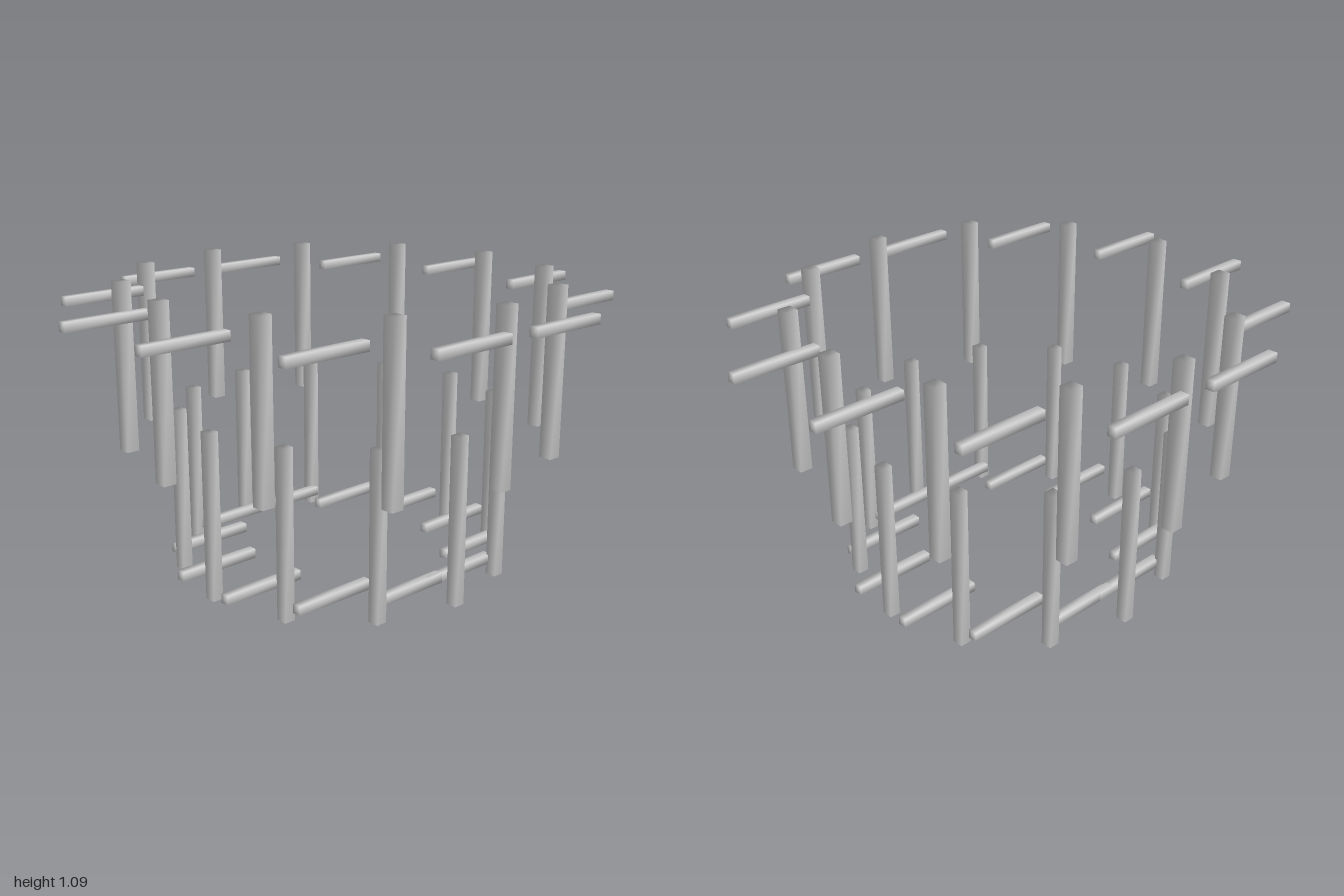
import * as THREE from 'three';
import { mergeVertices } from 'three/addons/utils/BufferGeometryUtils.js';

const material = new THREE.MeshStandardMaterial({ color: 0xcccccc });

// Box with shared corners, so its shading is smooth
function softBar(w, h, d) {
  let geo = new THREE.BoxGeometry(w, h, d);
  geo.deleteAttribute('normal');
  geo.deleteAttribute('uv');
  geo = mergeVertices(geo);
  geo.computeVertexNormals();
  return geo;
}

// Twelve copies on a circle, all kept parallel to the axes
function ring(name, geo, radius, y, startDegrees) {
  const group = new THREE.Group();
  group.name = name + 'Ring';
  for (let i = 0; i < 12; i++) {
    const a = THREE.MathUtils.degToRad(startDegrees + i * 30);
    const bar = new THREE.Mesh(geo, material);
    bar.name = name;
    bar.position.set(radius * Math.cos(a), y, radius * Math.sin(a));
    group.add(bar);
  }
  return group;
}

export function createModel() {
  const model = new THREE.Group();
  model.name = 'postRings';
  // Inner lower posts and outer upper posts
  model.add(ring('lowerPost', softBar(0.042, 0.617, 0.042), 0.597, 0.3085, 0));
  model.add(ring('upperPost', softBar(0.049, 0.617, 0.049), 0.777, 0.781, 0));
  // Rails sit halfway between the posts, all running along x
  model.add(ring('lowerRail', softBar(0.325, 0.035, 0.035), 0.504, 0.058, 15));
  model.add(ring('upperRail', softBar(0.325, 0.035, 0.035), 0.867, 0.998, 15));
  return model;
}
